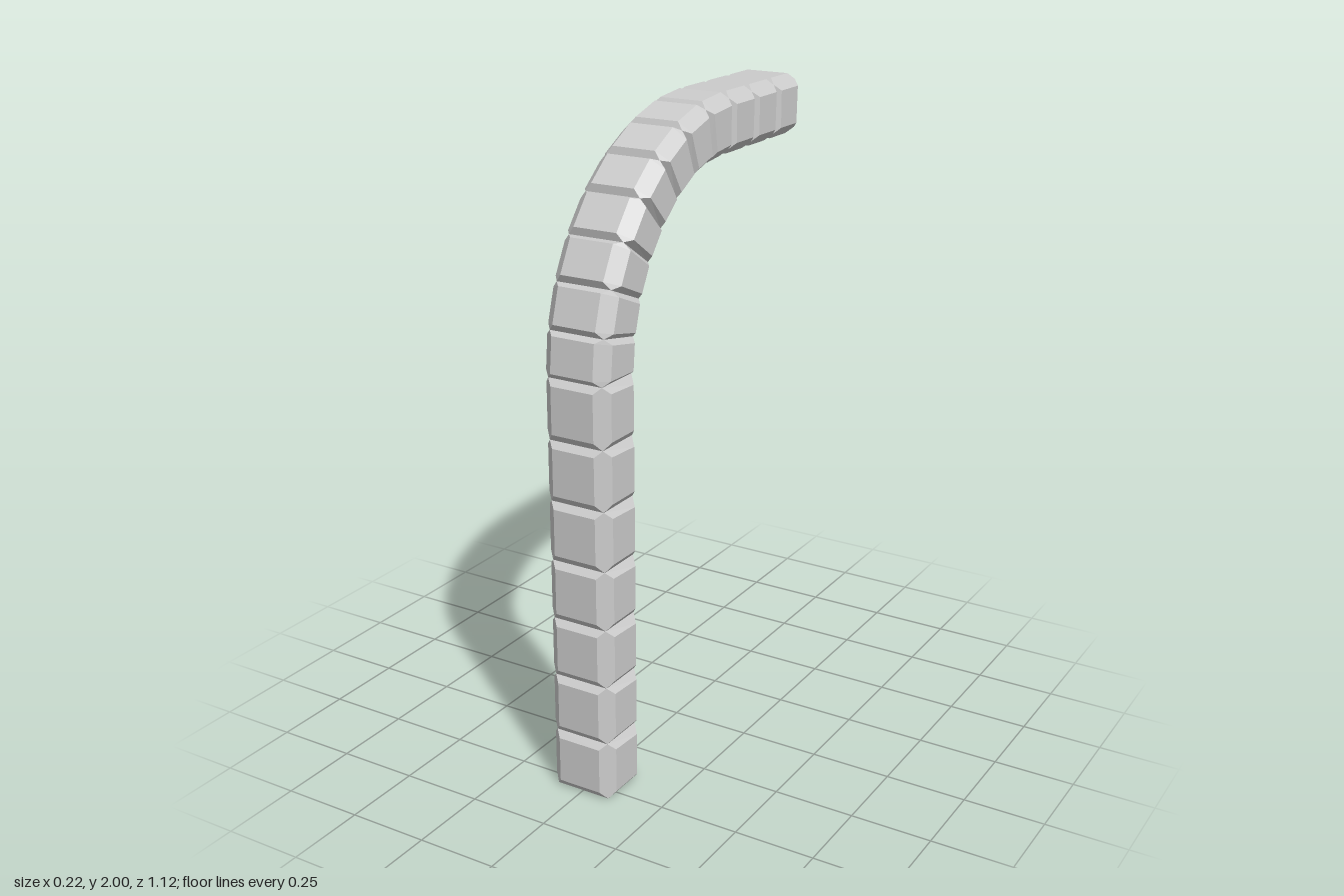
import * as THREE from 'three';

const RISE = 1.295;            // straight upright height
const R = 0.6125;              // centre-line radius of the bend
const ARC = R * Math.PI / 2;
const BEND_Z = -0.145;         // z of the bend centre
const TAIL = 0.415;            // length of the horizontal end

// Octagonal section (x across, u towards the outside of the bend), in corner pairs
const OCT = [
  [0.108, 0.057], [0.07, 0.0925], [-0.07, 0.0925], [-0.108, 0.057],
  [-0.108, -0.057], [-0.07, -0.0925], [0.07, -0.0925], [0.108, -0.057],
];
// Block ends: each corner pair merges into its midpoint, giving a rectangle
const RECT = OCT.map((p, j) => {
  const a = OCT[j & ~1], b = OCT[j | 1];
  return [(a[0] + b[0]) / 2, (a[1] + b[1]) / 2];
});

// Place a section point at distance s along the path
function place(x, u, s) {
  if (s <= RISE) return [x, s, BEND_Z + R + u];
  if (s >= RISE + ARC) return [x, RISE + R + u, BEND_Z - (s - RISE - ARC)];
  const a = (s - RISE) / R;
  return [x, RISE + (R + u) * Math.sin(a), BEND_Z + (R + u) * Math.cos(a)];
}

// One chamfered block between two distances along the path
function blockGeometry(s0, s1) {
  const len = s1 - s0;
  const ring = (pts, f, tilt = 0) =>
    pts.map(([x, u]) => place(x, u, s0 + len * (f + tilt * u / 0.0925)));
  const rings = [ring(RECT, 0), ring(OCT, 0.125), ring(OCT, 0.875, 0.025), ring(RECT, 1)];
  const pos = [];
  const tri = (a, b, c) => pos.push(...a, ...b, ...c);
  for (let k = 0; k < 3; k++) {
    const a = rings[k], b = rings[k + 1];
    for (let j = 0; j < 8; j++) {
      const n = (j + 1) % 8;
      const corner = j % 2 === 0; // chamfer strips taper to a point at the ends
      if (!(corner && k === 2)) tri(a[j], b[j], b[n]);
      else tri(a[j], b[j], a[n]);
      if (!(corner && k !== 1)) tri(a[j], b[n], a[n]);
    }
  }
  // End caps
  const [lo, , , hi] = rings;
  tri(lo[0], lo[2], lo[4]);
  tri(lo[0], lo[4], lo[6]);
  tri(hi[0], hi[4], hi[2]);
  tri(hi[0], hi[6], hi[4]);
  const g = new THREE.BufferGeometry();
  g.setAttribute('position', new THREE.Float32BufferAttribute(pos, 3));
  g.computeVertexNormals();
  return g;
}

export function createModel() {
  const model = new THREE.Group();
  model.name = 'curvedBlockBeam';
  const material = new THREE.MeshStandardMaterial({ color: 0xcccccc, flatShading: true });

  // Upright, quarter bend and horizontal end, each split into equal blocks
  const sections = [
    ['upright', RISE, 7],
    ['bend', ARC, 8],
    ['overhang', TAIL, 3],
  ];
  let start = 0;
  for (const [name, length, count] of sections) {
    const group = new THREE.Group();
    group.name = name;
    for (let i = 0; i < count; i++) {
      const mesh = new THREE.Mesh(
        blockGeometry(start + length * i / count, start + length * (i + 1) / count), material);
      mesh.name = `${name}Block${i + 1}`;
      group.add(mesh);
    }
    start += length;
    model.add(group);
  }
  return model;
}
